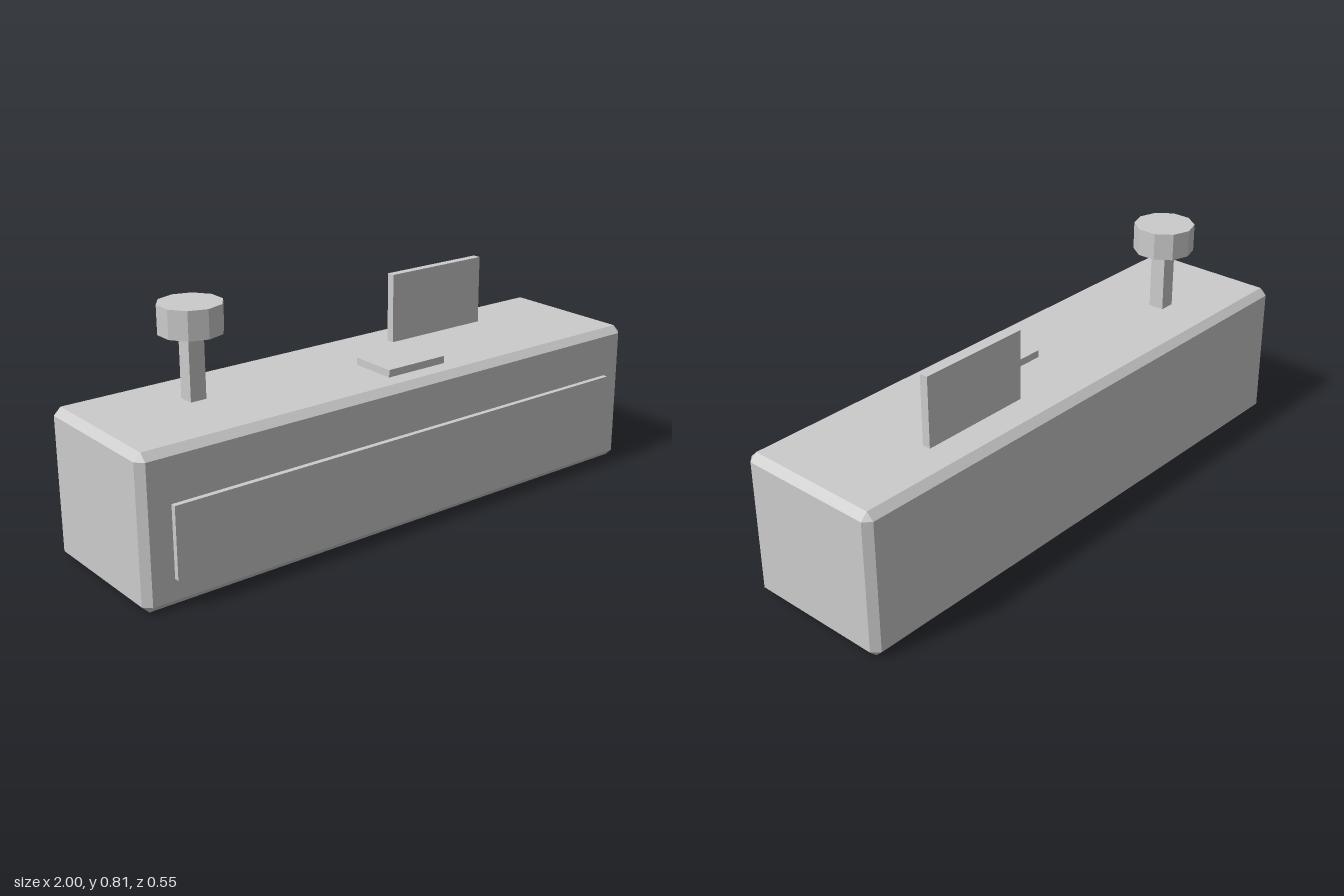
import * as THREE from 'three';
import { ConvexGeometry } from 'three/addons/geometries/ConvexGeometry.js';

const grey = new THREE.MeshStandardMaterial({ color: 0xcccccc, flatShading: true });
grey.name = 'light grey';

// Box with every edge cut at 45 degrees
function chamferedBox(w, h, d, c) {
  const points = [];
  for (const x of [-1, 1]) for (const y of [-1, 1]) for (const z of [-1, 1]) {
    const X = w / 2, Y = h / 2, Z = d / 2;
    points.push(
      new THREE.Vector3(x * X, y * (Y - c), z * (Z - c)),
      new THREE.Vector3(x * (X - c), y * Y, z * (Z - c)),
      new THREE.Vector3(x * (X - c), y * (Y - c), z * Z)
    );
  }
  return new ConvexGeometry(points);
}

export function createModel() {
  const model = new THREE.Group();
  model.name = 'counter';

  const add = (name, geometry, x, y, z, parent = model) => {
    const mesh = new THREE.Mesh(geometry, grey);
    mesh.name = name;
    mesh.position.set(x, y, z);
    parent.add(mesh);
    return mesh;
  };
  const box = (w, h, d) => new THREE.BoxGeometry(w, h, d);

  // Counter body, with the front panel standing just clear of it
  add('counterBody', chamferedBox(2, 0.5, 0.523, 0.024), 0, 0.25, -0.0115);
  add('frontPanel', box(1.805, 0.236, 0.018), 0, 0.215, 0.265);

  // Items on the counter top
  add('counterPad', box(0.236, 0.025, 0.165), 0.092, 0.5125, 0.084);
  add('uprightScreen', box(0.402, 0.24, 0.029), 0.426, 0.62, -0.1295);

  // Lamp: square post with a ten-sided head
  const lamp = new THREE.Group();
  lamp.name = 'lamp';
  lamp.position.set(-0.621, 0.5, -0.059);
  model.add(lamp);
  add('lampPost', box(0.056, 0.216, 0.056), 0, 0.108, 0, lamp);
  add('lampHead', new THREE.CylinderGeometry(0.104, 0.104, 0.094, 10), 0, 0.262, 0, lamp);

  return model;
}
